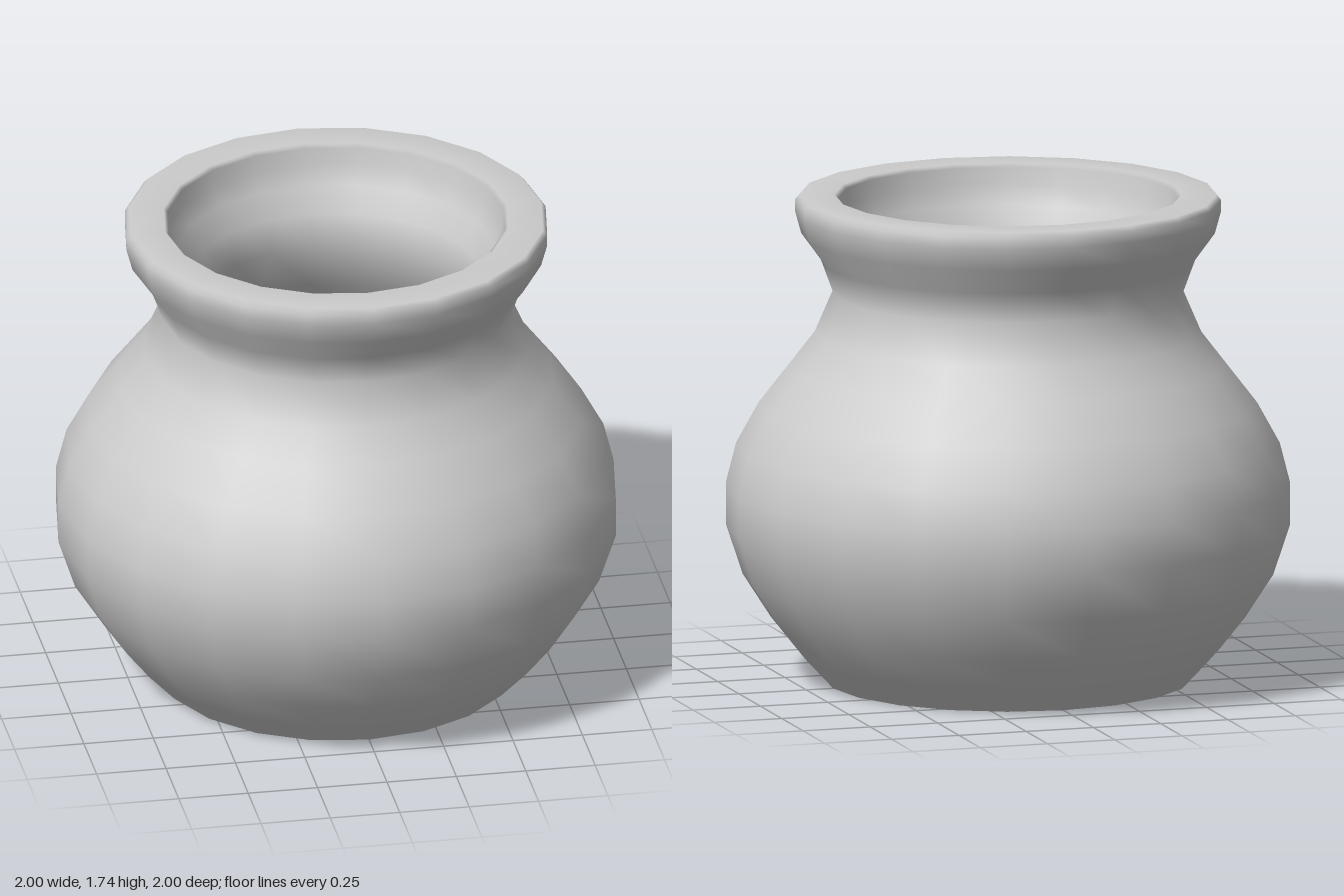
import * as THREE from 'three';

const SIDES = 20;
const material = new THREE.MeshStandardMaterial({ color: 0xcccccc });

// Turns a list of [radius, height] pairs around the y axis.
function turned(name, profile) {
  const points = profile.map(([r, y]) => new THREE.Vector2(r, y));
  const mesh = new THREE.Mesh(new THREE.LatheGeometry(points, SIDES), material);
  mesh.name = name;
  return mesh;
}

export function createModel() {
  const pot = new THREE.Group();
  pot.name = 'pot';

  // Round belly, pinched neck and flared lip
  const outer = [
    [0.65, 0], [0.75, 0.107], [0.84, 0.22], [0.94, 0.375], [1, 0.556],
    [1, 0.705], [0.963, 0.85], [0.883, 0.995], [0.775, 1.134], [0.685, 1.25],
    [0.622, 1.396], [0.663, 1.508], [0.733, 1.604], [0.755, 1.684],
  ];

  // Flat rim with softened edges
  const rim = [[0.755, 1.725], [0.74, 1.743], [0.615, 1.743], [0.602, 1.73]];

  // Hollow inside, following the outer wall down to the floor
  const inner = [
    [0.6, 1.67], [0.57, 1.6], [0.52, 1.51], [0.488, 1.396], [0.56, 1.22],
    [0.67, 1.07], [0.77, 0.93], [0.84, 0.8], [0.87, 0.69], [0.87, 0.57],
    [0.81, 0.41], [0.72, 0.27], [0.58, 0.14], [0, 0.13],
  ];

  pot.add(turned('body', [...outer, ...rim, ...inner]));

  // Flat underside, kept separate for a sharp bottom edge
  pot.add(turned('base', [[0, 0], [0.65, 0]]));

  return pot;
}
